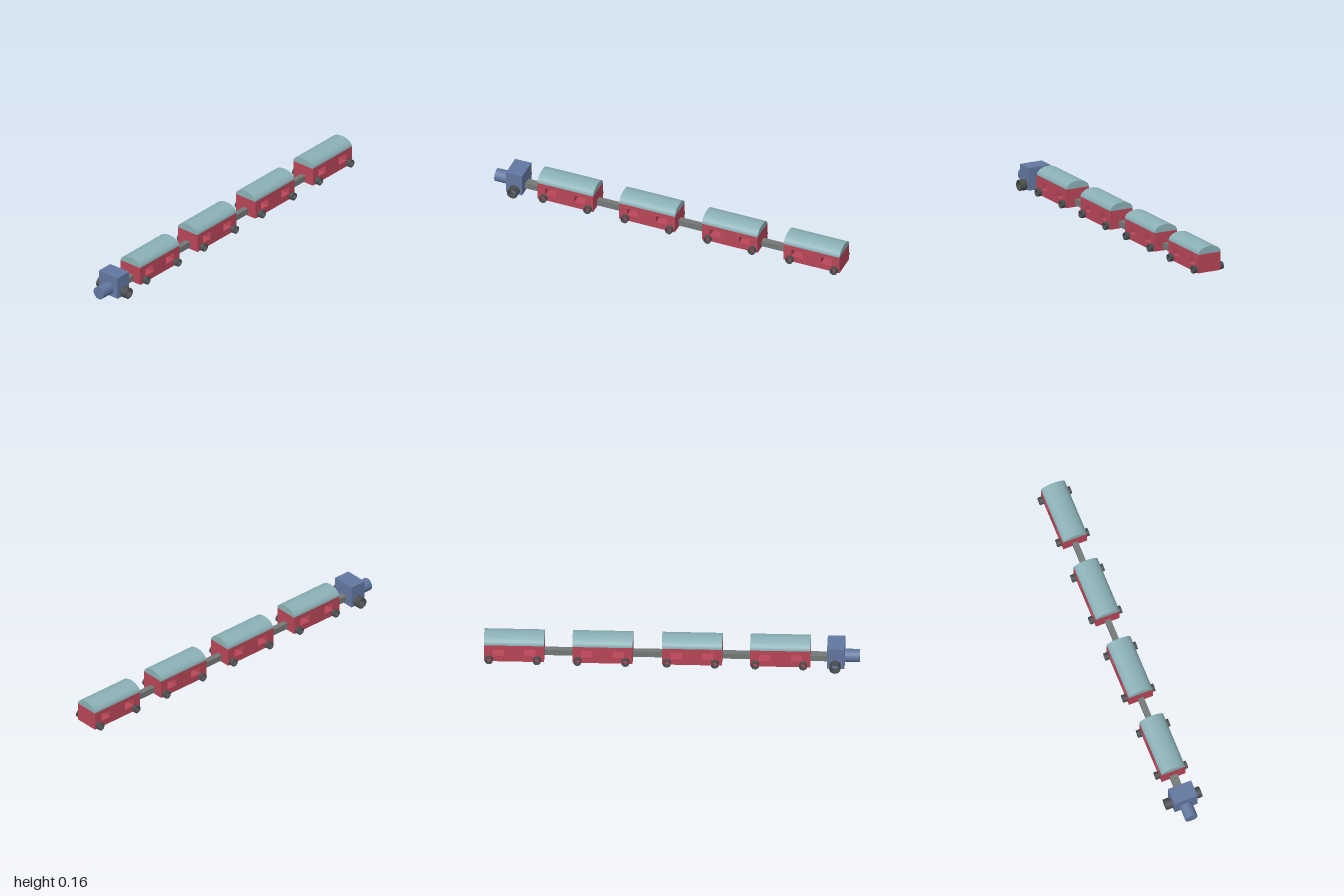
import * as THREE from 'three';

const paint = (color) => new THREE.MeshStandardMaterial({ color });
const red = paint(0xb84658);
const teal = paint(0x8ab0b5);
const blue = paint(0x62769f);
const grey = paint(0x737876);
const dark = paint(0x4a4c4e);

function add(parent, name, geometry, material, x = 0, y = 0, z = 0) {
  const mesh = new THREE.Mesh(geometry, material);
  mesh.name = name;
  mesh.position.set(x, y, z);
  parent.add(mesh);
  return mesh;
}

// Extrudes an outline along z, centred on z = 0
function slab(shape, depth, curveSegments = 12) {
  const geometry = new THREE.ExtrudeGeometry(shape, { depth, bevelEnabled: false, curveSegments });
  return geometry.translate(0, 0, -depth / 2);
}

function rectangle(path, x0, y0, x1, y1) {
  path.moveTo(x0, y0);
  path.lineTo(x1, y0);
  path.lineTo(x1, y1);
  path.lineTo(x0, y1);
  path.closePath();
  return path;
}

// Hollow ring wheel with its axis along z
function ringWheel(radius, width) {
  const shape = new THREE.Shape().absarc(0, 0, radius, 0, Math.PI * 2, false);
  shape.holes.push(new THREE.Path().absarc(0, 0, radius * 0.78, 0, Math.PI * 2, true));
  return slab(shape, width, 10);
}

const CAR = { length: 0.32, half: 0.068, floor: 0.017, eaves: 0.119, top: 0.16 };

function createCar() {
  const car = new THREE.Group();
  const h = CAR.length / 2;

  // Body with two windows passing right through
  const side = rectangle(new THREE.Shape(), -h, CAR.floor, h, CAR.eaves);
  for (const x of [-0.084, 0.084]) {
    side.holes.push(rectangle(new THREE.Path(), x - 0.031, 0.053, x + 0.031, 0.094));
  }
  add(car, 'carBody', slab(side, CAR.half * 2), red);

  // Rounded roof: half a cylinder, squashed in height
  const roof = new THREE.CylinderGeometry(1, 1, CAR.length, 32, 1, false, 0, Math.PI);
  roof.rotateZ(Math.PI / 2);
  roof.scale(1, CAR.top - CAR.eaves, CAR.half);
  add(car, 'carRoof', roof, teal, 0, CAR.eaves, 0);

  // Four wheels against the sides
  const wheel = ringWheel(0.021, 0.023);
  for (const x of [-0.122, 0.133]) {
    for (const s of [-1, 1]) add(car, 'carWheel', wheel, dark, x, 0.034, s * (CAR.half + 0.0115));
  }
  return car;
}

function createEngine() {
  const engine = new THREE.Group();
  engine.name = 'engine';
  add(engine, 'cab', new THREE.BoxGeometry(0.093, 0.125, 0.131), blue, -0.874, 0.0715, 0);
  const boiler = new THREE.CylinderGeometry(0.035, 0.035, 0.08, 24).rotateZ(Math.PI / 2);
  add(engine, 'boiler', boiler, blue, -0.96, 0.053, 0);
  const wheel = ringWheel(0.03, 0.037);
  for (const s of [-1, 1]) add(engine, 'engineWheel', wheel, dark, -0.87, 0.033, s * 0.084);
  return engine;
}

export function createModel() {
  const train = new THREE.Group();
  train.name = 'train';
  train.add(createEngine());

  // Four cars, each with a coupling bar reaching to the vehicle ahead
  let previousEnd = -0.8275;
  [-0.579, -0.11, 0.365, 0.835].forEach((x, i) => {
    const car = createCar();
    car.name = `car${i + 1}`;
    car.position.x = x;
    train.add(car);
    const start = x - CAR.length / 2;
    const bar = new THREE.BoxGeometry(start - previousEnd, 0.034, i === 0 ? 0.043 : 0.031);
    add(train, 'coupling', bar, grey, (start + previousEnd) / 2, 0.043, 0);
    previousEnd = x + CAR.length / 2;
  });

  // The whole train stands at a slight angle
  train.rotation.y = -0.026;
  train.position.set(0, -0.003, 0.001);
  const model = new THREE.Group();
  model.name = 'toyTrain';
  model.add(train);
  return model;
}
